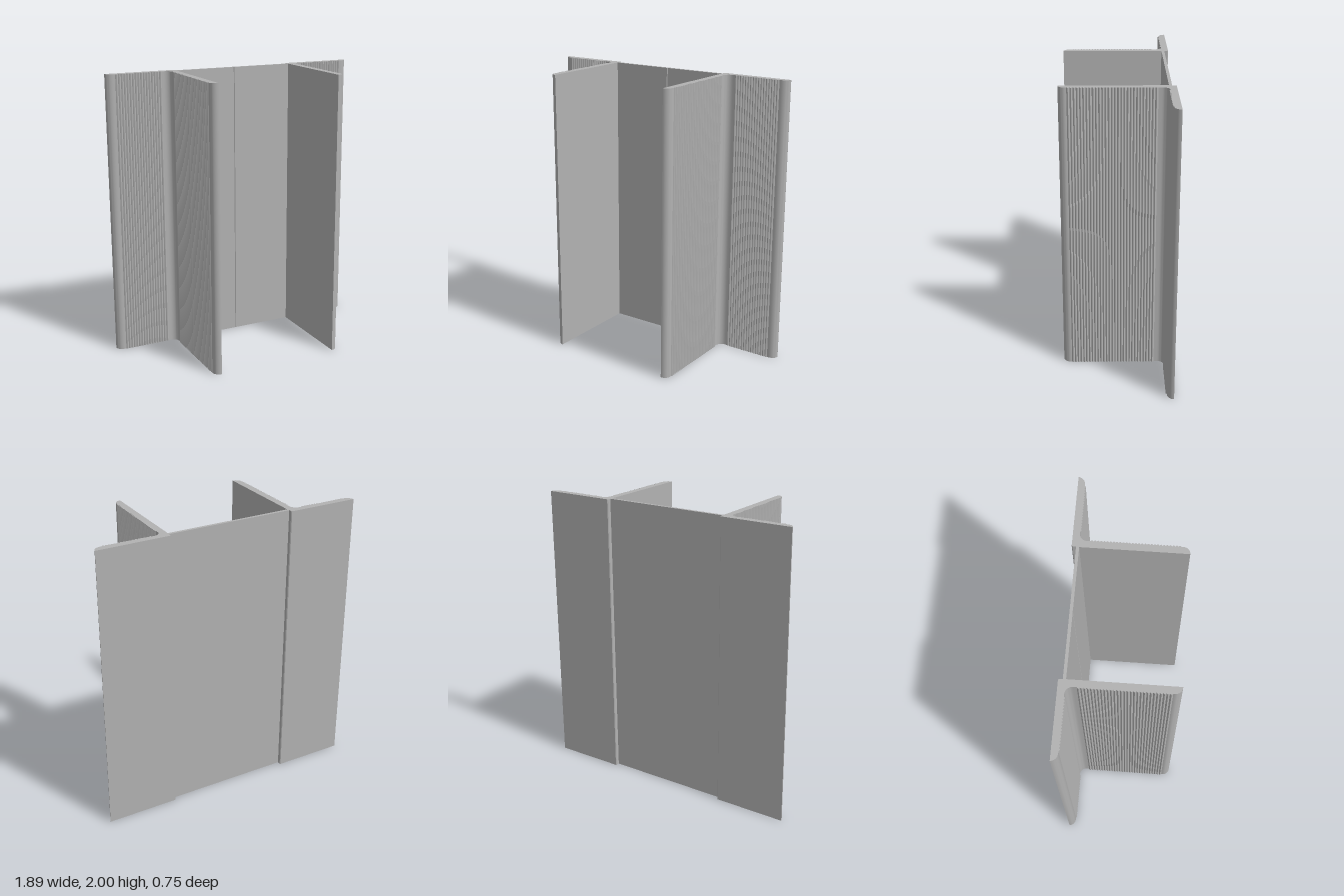
import * as THREE from 'three';
import { toCreasedNormals } from 'three/addons/utils/BufferGeometryUtils.js';

// Points along an arc in the (x, z) plan
function arc(cx, cz, r, a0, a1, n = 8) {
  return Array.from({ length: n + 1 }, (_, i) => {
    const a = a0 + ((a1 - a0) * i) / n;
    return [cx + r * Math.cos(a), cz + r * Math.sin(a)];
  });
}

// Small rounded ridges along a line, bulging towards (nx, nz)
function ridges(x0, z0, x1, z1, count, nx, nz, height = 0.008) {
  const points = [];
  const steps = 4;
  for (let i = 0; i <= count * steps; i++) {
    const t = i / (count * steps);
    const h = height * Math.sin((Math.PI * (i % steps)) / steps);
    points.push([x0 + (x1 - x0) * t + nx * h, z0 + (z1 - z0) * t + nz * h]);
  }
  return points;
}

export function createModel() {
  const group = new THREE.Group();
  group.name = 'jointProfile';
  const metal = new THREE.MeshStandardMaterial({ color: 0xb2b2b2 });
  metal.name = 'grey metal';

  const PI = Math.PI;
  // Left half of the section, from the back of the web round to its front
  const half = [
    [0, -0.347],
    [0.443, -0.347],
    [0.443, -0.37],
    [0.448, -0.375],
    [0.947, -0.375],
    // rounded flange tip
    ...arc(0.897, -0.38, 0.05, 0.1, PI / 2),
    // ridged flange face
    ...ridges(0.885, -0.33, 0.55, -0.33, 17, 0, 1),
    // inner fillet
    ...arc(0.535, -0.282, 0.048, -PI / 2, -PI),
    // ridged leg face
    ...ridges(0.487, -0.26, 0.487, 0.315, 29, 1, 0),
    // rounded leg tip
    ...arc(0.442, 0.325, 0.047, 0, PI / 2 - 0.1),
    [0.441, 0.372],
    [0.441, -0.327],
    // shallow groove down the middle of the web
    [0.005, -0.327],
    [0, -0.332],
  ];
  const mirrored = half.slice(1, -1).reverse().map(([x, z]) => [-x, z]);
  const shape = new THREE.Shape([...half, ...mirrored].map(([x, z]) => new THREE.Vector2(x, -z)));

  const extruded = new THREE.ExtrudeGeometry(shape, { depth: 2, bevelEnabled: false });
  extruded.rotateX(-PI / 2);
  const mesh = new THREE.Mesh(toCreasedNormals(extruded, 0.45), metal);
  mesh.name = 'extrudedSection';
  group.add(mesh);
  return group;
}
